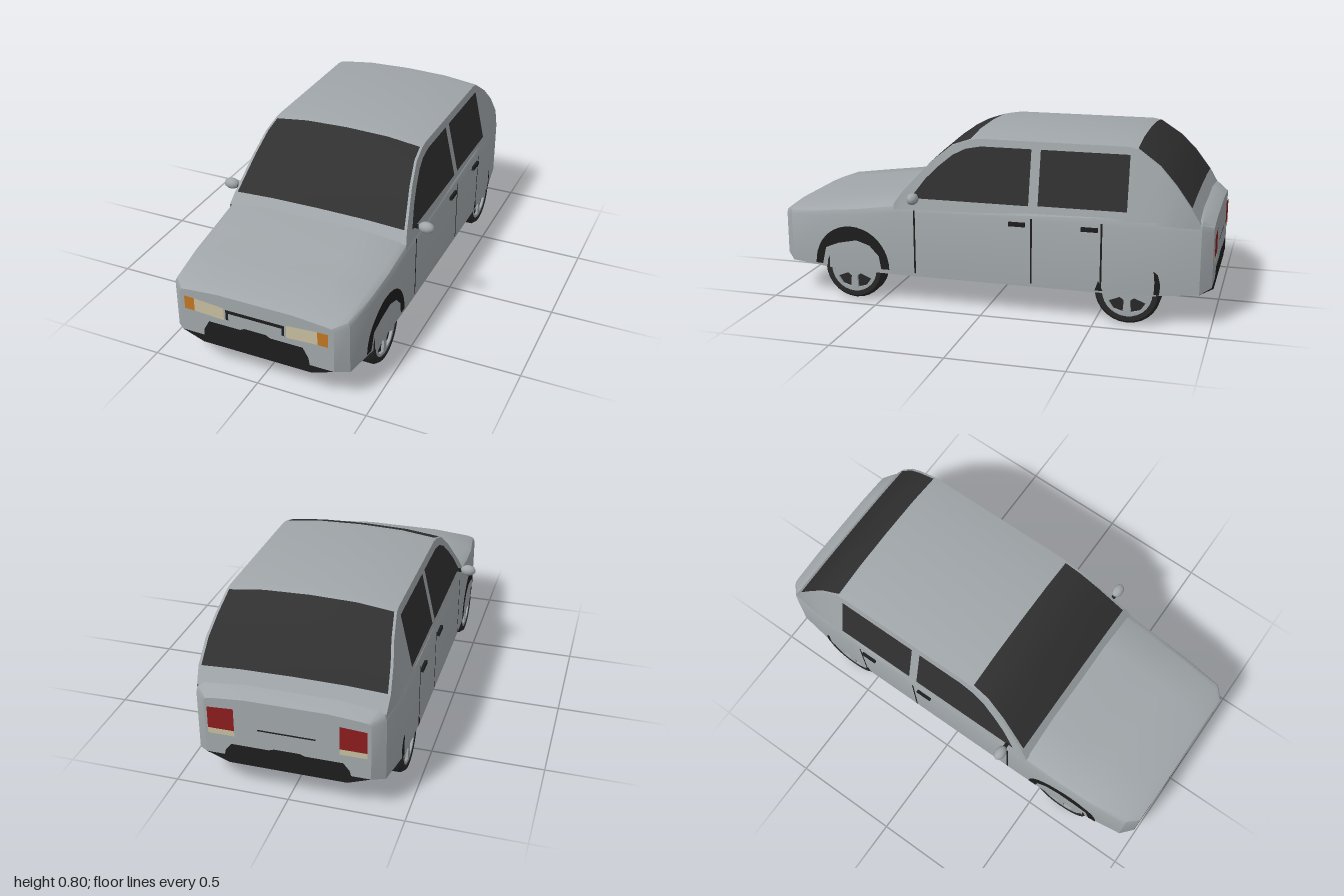
import * as THREE from 'three';
import { toCreasedNormals } from 'three/addons/utils/BufferGeometryUtils.js';

const paint = (name, color) => new THREE.MeshStandardMaterial({ name, color, side: THREE.DoubleSide });

// Body stations along z: z, half width, floor y, skirt y, shoulder y, top edge y, top centre y
const STATIONS = [
  [0.993, 0.355, 0.135, 0.172, 0.365, 0.385, 0.400],
  [0.945, 0.405, 0.125, 0.152, 0.375, 0.403, 0.420],
  [0.750, 0.430, 0.115, 0.140, 0.385, 0.425, 0.443],
  [0.600, 0.437, 0.106, 0.136, 0.400, 0.443, 0.460],
  [0.400, 0.440, 0.105, 0.135, 0.430, 0.475, 0.492],
  [-0.500, 0.440, 0.105, 0.135, 0.435, 0.485, 0.500],
  [-0.750, 0.432, 0.110, 0.138, 0.435, 0.485, 0.500],
  [-0.945, 0.405, 0.125, 0.152, 0.430, 0.470, 0.487],
  [-0.993, 0.355, 0.135, 0.172, 0.420, 0.440, 0.455],
];

// Half width of the body at a given z
function bodyWidth(z) {
  for (let i = 1; i < STATIONS.length; i++) {
    const [a, wa] = STATIONS[i - 1], [b, wb] = STATIONS[i];
    if (z >= b) return wa + (wb - wa) * Math.max(0, (a - z) / (a - b));
  }
  return 0.355;
}
// Half width of the cabin, which leans inwards towards the roof
const cabinWidth = (y, z) => Math.min(0.365 + (0.77 - y) * 0.225, bodyWidth(z) - 0.004);

// Smooth skin through rows of [x, y, z] points
function sheet(rows, crease = 0.6) {
  const n = rows[0].length, index = [];
  for (let r = 0; r < rows.length - 1; r++) {
    for (let c = 0; c < n - 1; c++) {
      const a = r * n + c, b = a + n;
      index.push(a, b, a + 1, b, b + 1, a + 1);
    }
  }
  const g = new THREE.BufferGeometry();
  g.setAttribute('position', new THREE.Float32BufferAttribute(rows.flat(2), 3));
  g.setIndex(index);
  return toCreasedNormals(g, crease);
}

const polygon = pts => new THREE.Shape(pts.map(p => new THREE.Vector2(p[0], p[1])));
const rect = (x0, y0, x1, y1) => polygon([[x0, y0], [x1, y0], [x1, y1], [x0, y1]]);
const mirrored = half => [...half, ...half.slice().reverse().map(([x, y]) => [-x, y])];

export function createModel() {
  const car = new THREE.Group();
  car.name = 'car';
  const body = paint('silver paint', 0xa0a6a9);
  const glass = paint('dark glass', 0x303030);
  const trim = paint('black trim', 0x1d1d1d);
  const rubber = paint('tyre rubber', 0x282828);
  const cream = paint('lamp cream', 0xc5bd9f);
  const amber = paint('indicator amber', 0xbf7620);
  const red = paint('tail lamp red', 0x8c1c1f);

  const add = (name, geometry, material, parent = car) => {
    const m = new THREE.Mesh(geometry, material);
    m.name = name;
    parent.add(m);
    return m;
  };

  // Lower body shell and dark underside
  const upper = ([, w, , skirt, sh, edge, top]) =>
    mirrored([[w, skirt], [w, sh], [w - 0.01, (sh + edge) / 2 + 0.006], [w - 0.035, edge], [w * 0.5, top - 0.003]]);
  const lower = ([, w, floor, skirt]) => mirrored([[w, skirt], [w - 0.1, floor]]);
  const loft = section => STATIONS.map(s => section(s).map(([x, y]) => [x, y, s[0]]).reverse());
  add('bodyShell', sheet(loft(upper)), body);
  add('underside', sheet(loft(lower), 0.3), trim);
  for (const s of [STATIONS[0], STATIONS[STATIONS.length - 1]]) {
    const end = s[0] > 0 ? 'front' : 'rear';
    for (const [part, section, mat] of [['Panel', upper, body], ['LowerValance', lower, trim]]) {
      const m = add(end + part, new THREE.ShapeGeometry(polygon(section(s))), mat);
      m.position.z = s[0];
      if (s[0] < 0) m.rotation.y = Math.PI;
    }
  }

  // Cabin: windscreen, roof and rear window follow one centre line of [z, y]
  const line = [
    [0.425, 0.475], [0.390, 0.528], [0.260, 0.680], [0.165, 0.762], [0.085, 0.790], [0.040, 0.797],
    [-0.620, 0.797], [-0.660, 0.790], [-0.760, 0.718], [-0.830, 0.640], [-0.900, 0.540], [-0.940, 0.470],
  ];
  const drop = y => 0.010 + 0.017 * THREE.MathUtils.clamp((y - 0.5) / 0.28, 0, 1);
  const across = (fractions, from, to) => line.slice(from, to + 1).map(([z, y]) => {
    const e = cabinWidth(y - drop(y), z);
    return fractions.map(f => [f * e, y - drop(y) * Math.abs(f) ** 2.6, z]);
  });
  const FULL = [-1, -0.97, -0.55, 0, 0.55, 0.97, 1], PANE = FULL.slice(1, -1);
  add('cowl', sheet(across(FULL, 0, 1)), body);
  add('windscreen', sheet(across(PANE, 1, 4)), glass);
  add('roof', sheet(across(FULL, 4, 7)), body);
  add('rearWindow', sheet(across(PANE, 7, 10)), glass);
  add('rearSill', sheet(across(FULL, 10, 11)), body);
  for (const s of [1, -1]) {
    add('windscreenPillar', sheet(across([s * 0.97, s], 1, 4)), body);
    add('rearPillar', sheet(across([s * 0.97, s], 7, 10)), body);
    const panel = line.map(([z, y]) => [y - drop(y), 0.44].map(h => [s * cabinWidth(h, z), h, z]));
    add('cabinSide', sheet(panel), body);
  }

  // Thin plates that hug the sides; shapes are drawn in (z, y)
  const sidePlate = (name, shape, mat, width, lift = 0.003) => {
    for (const s of [1, -1]) {
      const g = new THREE.ShapeGeometry(shape, 24), p = g.attributes.position;
      for (let i = 0; i < p.count; i++) {
        const z = p.getX(i), y = p.getY(i);
        p.setXYZ(i, s * (width(y, z) + lift), y, z);
      }
      g.computeVertexNormals();
      add(name, g, mat);
    }
  };
  sidePlate('frontSideWindow', polygon([
    [0.345, 0.497], [0.28, 0.585], [0.22, 0.645], [0.16, 0.695], [0.10, 0.725], [0.03, 0.738], [-0.198, 0.738], [-0.198, 0.497],
  ]), glass, cabinWidth);
  sidePlate('rearSideWindow', rect(-0.63, 0.5, -0.24, 0.738), glass, cabinWidth);
  const flank = (y, z) => bodyWidth(z);
  for (const z of [0.325, -0.215, -0.525]) {
    sidePlate('doorSeam', rect(z - 0.004, 0.15, z + 0.004, 0.445), trim, flank);
  }

  // Wheel arch trims
  const arch = [];
  for (let i = 0; i <= 20; i++) {
    const a = Math.PI * i / 20;
    arch.push([0.635 + 0.185 * Math.cos(a), 0.155 + 0.19 * Math.sin(a)]);
  }
  arch.push([0.49, 0.155], [0.5, 0.215], [0.545, 0.262], [0.61, 0.282], [0.70, 0.262], [0.765, 0.235], [0.785, 0.155]);
  sidePlate('frontArch', polygon(arch), trim, flank, 0.004);
  sidePlate('rearArch', polygon([[-0.755, 0.145], [-0.778, 0.145], [-0.782, 0.19], [-0.77, 0.235], [-0.752, 0.25], [-0.757, 0.2]]), trim, flank);
  sidePlate('rearArchFront', polygon([[-0.50, 0.145], [-0.535, 0.145], [-0.515, 0.19]]), trim, flank);

  // Door handles and mirrors
  for (const s of [1, -1]) {
    for (const z of [-0.15, -0.473]) {
      add('doorHandle', new THREE.BoxGeometry(0.014, 0.018, 0.074), trim).position.set(s * 0.445, 0.416, z);
    }
    const mirror = add('mirror', new THREE.SphereGeometry(1, 10, 8), body);
    mirror.scale.set(0.037, 0.026, 0.026);
    mirror.position.set(s * 0.483, 0.507, 0.315);
    add('mirrorStem', new THREE.BoxGeometry(0.05, 0.012, 0.016), trim).position.set(s * 0.433, 0.503, 0.315);
  }

  // Wheels: tyre, dark hub disc and five-spoke rim
  const tyreProfile = [[0.1, -0.045], [0.132, -0.045], [0.145, -0.027], [0.145, 0.027], [0.132, 0.045], [0.112, 0.045], [0.1, 0.03]];
  const tyreGeo = toCreasedNormals(
    new THREE.LatheGeometry(tyreProfile.map(p => new THREE.Vector2(...p)), 28), 0.5).rotateZ(-Math.PI / 2);
  const rimShape = new THREE.Shape().absarc(0, 0, 0.113, 0, Math.PI * 2);
  for (let i = 0; i < 5; i++) {
    const at = (r, d) => {
      const a = i * Math.PI * 0.4 + Math.PI / 2 + d;
      return new THREE.Vector2(r * Math.cos(a), r * Math.sin(a));
    };
    rimShape.holes.push(new THREE.Path([at(0.04, -0.28), at(0.094, -0.44), at(0.099, 0), at(0.094, 0.44), at(0.04, 0.28)]));
  }
  const rimGeo = new THREE.ExtrudeGeometry(rimShape, { depth: 0.012, bevelEnabled: false, curveSegments: 24 }).rotateY(Math.PI / 2);
  for (const s of [1, -1]) {
    for (const [name, z] of [['frontWheel', 0.63], ['rearWheel', -0.64]]) {
      const wheel = new THREE.Group();
      wheel.name = name;
      wheel.position.set(s * 0.385, 0.145, z);
      if (s < 0) wheel.rotation.y = Math.PI;
      add('tyre', tyreGeo, rubber, wheel);
      add('rim', rimGeo, body, wheel).position.x = 0.031;
      for (const x of [-0.038, 0.022]) {
        add('hubDisc', new THREE.CylinderGeometry(0.11, 0.11, 0.006, 24).rotateZ(Math.PI / 2), rubber, wheel).position.x = x;
      }
      car.add(wheel);
    }
  }

  // Lamps, plate frames and bumper inserts on the two ends
  const endPlate = (name, pts, mat, z) => {
    const m = add(name, new THREE.ShapeGeometry(polygon(pts)), mat);
    m.position.z = z;
  };
  const F = 0.998, R = -0.998;
  for (const s of [1, -1]) {
    endPlate('headlamp', [[s * 0.145, 0.282], [s * 0.285, 0.29], [s * 0.285, 0.353], [s * 0.145, 0.342]], cream, F);
    endPlate('indicator', [[s * 0.285, 0.29], [s * 0.332, 0.29], [s * 0.332, 0.354], [s * 0.285, 0.353]], amber, F);
    endPlate('tailLamp', [[s * 0.225, 0.298], [s * 0.34, 0.298], [s * 0.34, 0.398], [s * 0.225, 0.405]], red, R);
    endPlate('reverseLamp', [[s * 0.225, 0.272], [s * 0.34, 0.272], [s * 0.34, 0.298], [s * 0.225, 0.298]], cream, R);
  }
  endPlate('frontPlateFrame', mirrored([[0.136, 0.287], [0.136, 0.337], [0, 0.337]])
    .concat([[-0.124, 0.287], [-0.124, 0.321], [0.124, 0.321], [0.124, 0.287]]), trim, F);
  endPlate('rearPlateSeam', mirrored([[0.125, 0.318], [0.125, 0.325]]), trim, R);
  const insert = mirrored([[0.25, 0.165], [0.243, 0.21], [0.218, 0.255], [0.07, 0.255], [0.05, 0.266]]);
  endPlate('frontBumperInsert', insert, trim, F);
  endPlate('rearBumperInsert', insert.map(([x, y]) => [x * 1.1, 0.165 + (y - 0.165) * 0.75]), trim, R);

  return car;
}
